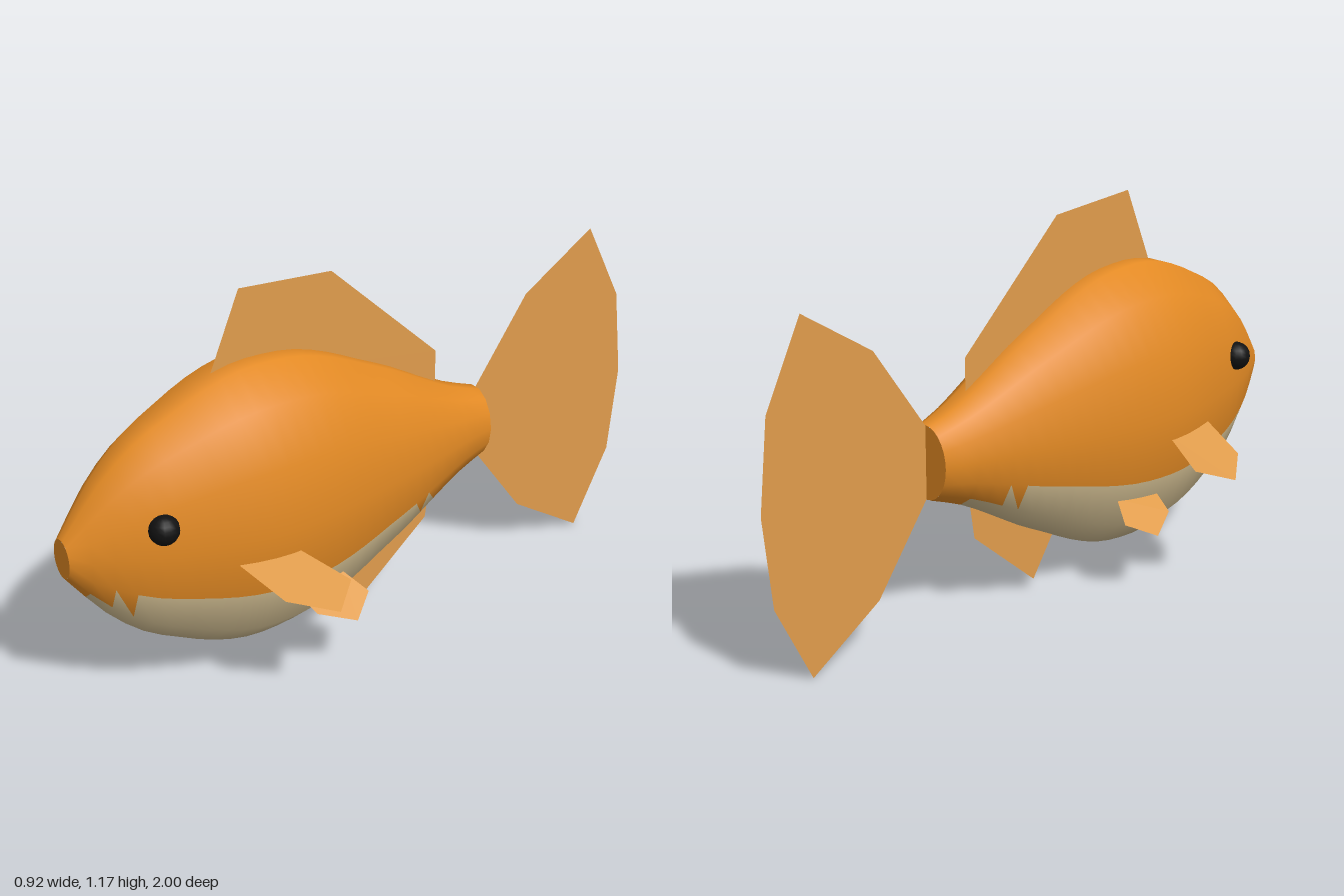
import * as THREE from 'three';

const material = (name, color, extra = {}) => {
  const m = new THREE.MeshStandardMaterial({ color, ...extra });
  m.name = name;
  return m;
};

const SIDES = 14, SEGMENTS = 26, CENTRE_Y = 0.525, BELLY_Y = 0.38;

// Half width and half height of the body at even steps from nose to tail root
const PROFILE = [
  [0.045, 0.061], [0.107, 0.205], [0.155, 0.305], [0.19, 0.365], [0.219, 0.415],
  [0.237, 0.444], [0.239, 0.446], [0.23, 0.43], [0.211, 0.39], [0.187, 0.335],
  [0.163, 0.28], [0.135, 0.215], [0.106, 0.155], [0.082, 0.113],
];

// Smooth loft; low triangles go to the belly group, the rest to the back group
function bodyGeometry() {
  const curve = new THREE.CatmullRomCurve3(
    PROFILE.map(([w, h], k) => new THREE.Vector3(w, h, 1 - (1.415 * k) / (PROFILE.length - 1))),
    false, 'catmullrom', 0.5);
  const positions = [];
  for (let i = 0; i <= SEGMENTS; i++) {
    const s = curve.getPoint(i / SEGMENTS);
    for (let j = 0; j < SIDES; j++) {
      const t = ((j + 0.5) / SIDES) * Math.PI * 2;
      positions.push(s.x * Math.sin(t), CENTRE_Y + s.y * Math.cos(t), s.z);
    }
  }
  const back = [], belly = [];
  const addTriangle = (...tri) => {
    const y = tri.reduce((sum, v) => sum + positions[v * 3 + 1], 0) / 3;
    (y < BELLY_Y ? belly : back).push(...tri);
  };
  for (let i = 0; i < SEGMENTS; i++) {
    for (let j = 0; j < SIDES; j++) {
      const k = (j + 1) % SIDES;
      const a = i * SIDES + j, b = i * SIDES + k, c = a + SIDES, d = b + SIDES;
      addTriangle(a, b, d);
      addTriangle(a, d, c);
    }
  }
  const g = new THREE.BufferGeometry();
  g.setAttribute('position', new THREE.Float32BufferAttribute(positions, 3));
  g.setIndex([...back, ...belly]);
  g.addGroup(0, back.length, 0);
  g.addGroup(back.length, belly.length, 1);
  g.computeVertexNormals();
  return g;
}

// Flat fin from an outline of [x, y, z] corners
function finGeometry(points) {
  const outline = points.map(([, y, z]) => new THREE.Vector2(z, y));
  const faces = THREE.ShapeUtils.triangulateShape(outline, []);
  const g = new THREE.BufferGeometry();
  g.setAttribute('position', new THREE.Float32BufferAttribute(points.flat(), 3));
  g.setIndex(faces.flat());
  const flat = g.toNonIndexed();
  flat.computeVertexNormals();
  return flat;
}

export function createModel() {
  const fish = new THREE.Group();
  fish.name = 'fish';
  const orange = material('orange scales', 0xe38a24);
  const cream = material('cream belly', 0xd2be92);
  const amber = material('amber fin', 0xe09c4c, { side: THREE.DoubleSide });
  const black = material('black eye', 0x111111);

  const add = (name, geometry, mat) => {
    const mesh = new THREE.Mesh(geometry, mat);
    mesh.name = name;
    fish.add(mesh);
    return mesh;
  };

  add('body', bodyGeometry(), [orange, cream]);

  // Flat ends of the body
  const snout = add('snout', new THREE.CircleGeometry(1, 28), orange);
  snout.scale.set(0.045, 0.06, 1);
  snout.position.set(0, CENTRE_Y, 1);
  const tailRoot = add('tailRoot', new THREE.CircleGeometry(1, 28), orange);
  tailRoot.scale.set(0.082, 0.112, 1);
  tailRoot.rotation.y = Math.PI;
  tailRoot.position.set(0, CENTRE_Y, -0.415);

  // Fins on the centre plane, as [z, y] corners
  const middleFin = (name, corners) =>
    add(name, finGeometry(corners.map(([z, y]) => [0, y, z])), amber);
  middleFin('dorsalFin', [
    [0.515, 0.94], [0.415, 1.175], [0.11, 1.15], [-0.26, 0.8], [-0.26, 0.68], [0.1, 0.86]]);
  middleFin('tailFin', [
    [-0.415, 0.635], [-0.6, 0.895], [-0.845, 1.05], [-0.97, 0.8], [-1, 0.525],
    [-0.97, 0.25], [-0.845, 0.005], [-0.6, 0.16], [-0.415, 0.415]]);
  middleFin('analFin', [[0.12, 0.2], [0.1, 0.165], [0.015, 0.035], [-0.23, 0.24], [-0.255, 0.4]]);

  // Paired fins and eyes
  const pectoral = [
    [0.2, 0.46, 0.57], [0.37, 0.405, 0.52], [0.46, 0.375, 0.4], [0.38, 0.405, 0.31], [0.2, 0.457, 0.39]];
  const pelvic = [
    [0.17, 0.28, 0.365], [0.255, 0.235, 0.34], [0.305, 0.2, 0.235], [0.245, 0.24, 0.155], [0.17, 0.29, 0.2]];
  for (const [side, s] of [['left', 1], ['right', -1]]) {
    const mirrored = (pts) => finGeometry(pts.map(([x, y, z]) => [s * x, y, z]));
    add(side + 'PectoralFin', mirrored(pectoral), amber);
    add(side + 'PelvicFin', mirrored(pelvic), amber);
    add(side + 'Eye', new THREE.SphereGeometry(0.044, 14, 10), black)
      .position.set(s * 0.153, 0.612, 0.765);
  }
  return fish;
}
